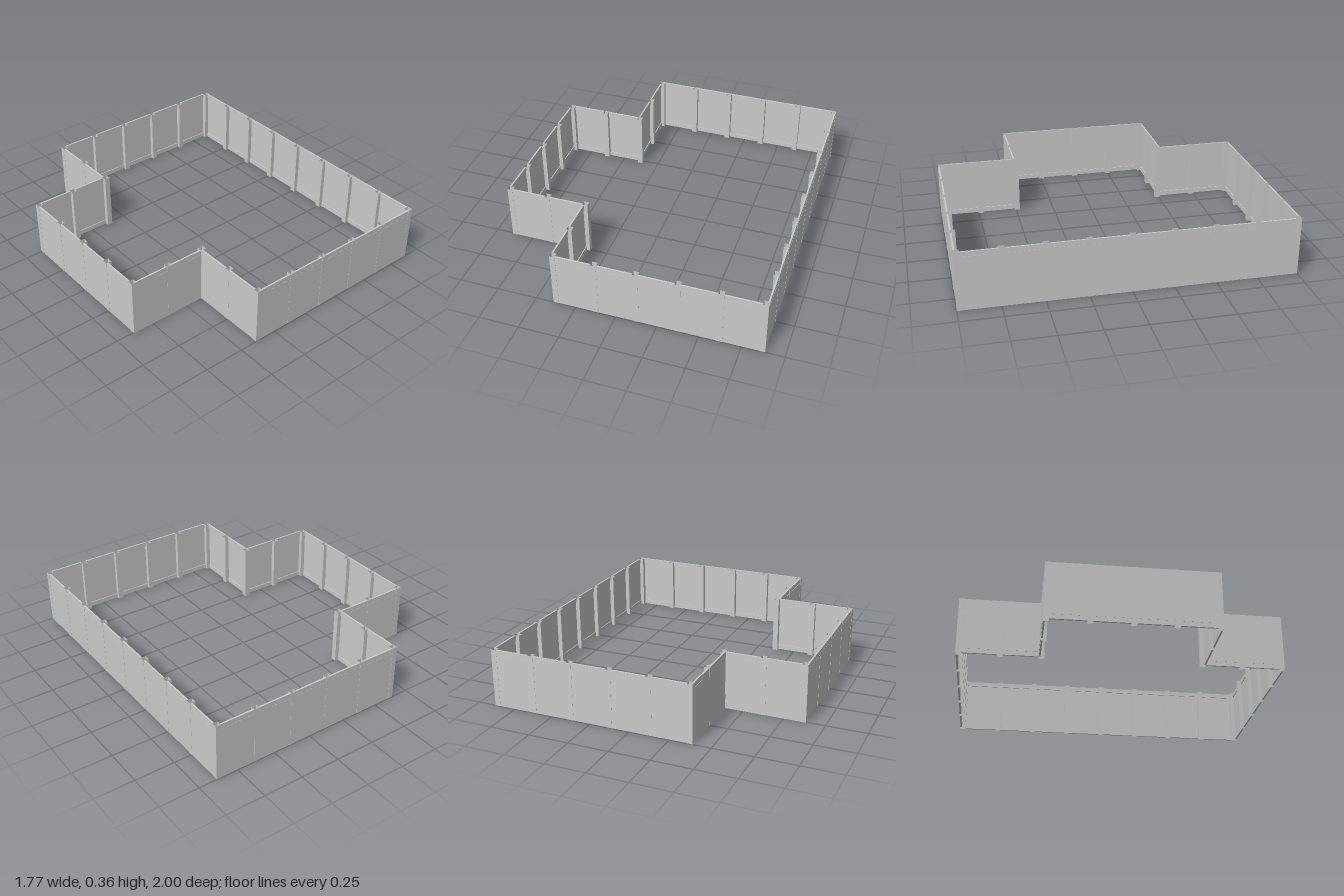
import * as THREE from 'three';

const HEIGHT = 0.36, RAIL = 0.03, POST = 0.034;
const STEP_X = 0.2486, STEP_Z = 0.2457; // post spacing

export function createModel() {
  const fence = new THREE.Group();
  fence.name = 'fence';
  const solid = new THREE.MeshStandardMaterial({ color: 0xcccccc, flatShading: true });
  const open = new THREE.MeshStandardMaterial({ color: 0xcccccc, flatShading: true, side: THREE.DoubleSide });

  // Square hollow post, open at both ends
  const postGeo = new THREE.CylinderGeometry(POST / Math.SQRT2, POST / Math.SQRT2, HEIGHT, 4, 1, true);
  postGeo.rotateY(Math.PI / 4);
  postGeo.translate(0, HEIGHT / 2, 0);

  const addBox = (parent, name, w, h, d, y, z) => {
    const mesh = new THREE.Mesh(new THREE.BoxGeometry(w, h, d), solid);
    mesh.name = name;
    mesh.position.set(0, y, z);
    parent.add(mesh);
  };

  // One fence bay: thin board near the outer face, with a rail along top and bottom
  const makeBay = (width) => {
    const bay = new THREE.Group();
    bay.name = 'fenceBay';
    const outer = POST / 2;
    addBox(bay, 'board', width, HEIGHT - 2 * RAIL, 0.006, HEIGHT / 2, outer - 0.004);
    addBox(bay, 'bottomRail', width, RAIL, 0.01, RAIL / 2, outer - 0.007);
    addBox(bay, 'topRail', width, RAIL, 0.01, HEIGHT - RAIL / 2, outer - 0.007);
    return bay;
  };

  // Corners of the enclosure, counted in bays
  const corners = [[3.5, 4], [3.5, -4], [-1.5, -4], [-1.5, -2], [-3.5, -2], [-3.5, 2], [-1.5, 2], [-1.5, 4]];
  corners.forEach(([x0, z0], i) => {
    const [x1, z1] = corners[(i + 1) % corners.length];
    const count = Math.abs(x1 - x0) + Math.abs(z1 - z0);
    const dx = Math.sign(x1 - x0), dz = Math.sign(z1 - z0);
    const wall = new THREE.Group();
    wall.name = 'wall' + (i + 1);
    for (let k = 0; k < count; k++) {
      const post = new THREE.Mesh(postGeo, open);
      post.name = 'post';
      post.position.set((x0 + dx * k) * STEP_X, 0, (z0 + dz * k) * STEP_Z);
      const bay = makeBay((dx ? STEP_X : STEP_Z) - POST);
      bay.position.set((x0 + dx * (k + 0.5)) * STEP_X, 0, (z0 + dz * (k + 0.5)) * STEP_Z);
      bay.rotation.y = Math.atan2(-dz, dx); // turn the board side outwards
      wall.add(post, bay);
    }
    fence.add(wall);
  });
  return fence;
}
